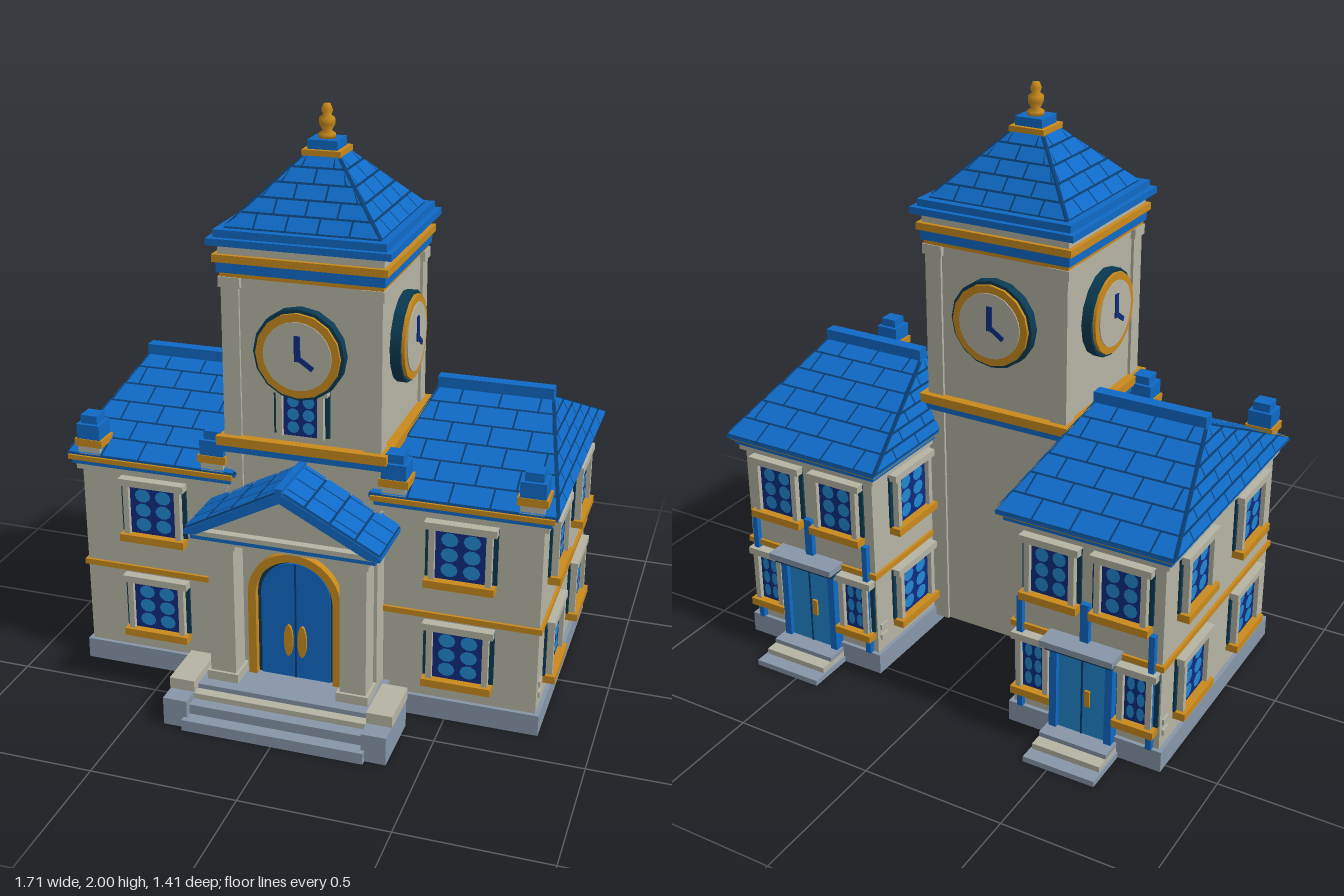
import * as THREE from 'three';

const mat = (name, color, side = THREE.FrontSide) => {
  const m = new THREE.MeshStandardMaterial({ color, side });
  m.name = name;
  return m;
};

export function createModel() {
  const cream = mat('cream stone', 0xb6b4a4);
  const grey = mat('grey stone', 0x8796a8);
  const blue = mat('roof blue', 0x0f6ac6, THREE.DoubleSide);
  const groove = mat('groove blue', 0x083c70, THREE.DoubleSide);
  const gold = mat('gold trim', 0xc98a1c);
  const navy = mat('glass navy', 0x0f2c80);
  const sky = mat('glass light blue', 0x2088d0);
  const teal = mat('dark teal', 0x0b3a52);

  const root = new THREE.Group();
  root.name = 'clockTowerHall';
  const group = (parent, name, x = 0, y = 0, z = 0, ry = 0) => {
    const g = new THREE.Group();
    g.name = name;
    g.position.set(x, y, z);
    g.rotation.y = ry;
    parent.add(g);
    return g;
  };
  const add = (parent, name, geo, m) => {
    const o = new THREE.Mesh(geo, m);
    o.name = name;
    parent.add(o);
    return o;
  };
  // Box given by its extents
  const box = (p, name, m, x0, x1, y0, y1, z0, z1) =>
    add(p, name, new THREE.BoxGeometry(x1 - x0, y1 - y0, z1 - z0)
      .translate((x0 + x1) / 2, (y0 + y1) / 2, (z0 + z1) / 2), m);
  const extrude = (p, name, m, shape, depth, z) =>
    add(p, name, new THREE.ExtrudeGeometry(shape, { depth, bevelEnabled: false, curveSegments: 10 }).translate(0, 0, z), m);

  // Roof slope: dark backing plus staggered tiles, clipped to the hips (a,b eave; c,d ridge)
  const quads = (list) => {
    const g = new THREE.BufferGeometry();
    g.setAttribute('position', new THREE.Float32BufferAttribute(
      list.flatMap(([a, b, c, d]) => [a, b, c, a, c, d].flatMap((v) => v.toArray())), 3));
    g.computeVertexNormals();
    return g;
  };
  const slope = (parent, pts, rows, tile) => {
    const [a, b, c, d] = pts.map((p) => new THREE.Vector3(...p));
    const dir = b.clone().sub(a).normalize();
    const up = d.clone().sub(a);
    up.addScaledVector(dir, -up.dot(dir));
    const lift = dir.clone().cross(up).normalize().multiplyScalar(0.006);
    const lw = (v) => d.clone().sub(a).dot(dir) * v;
    const rw = (v) => THREE.MathUtils.lerp(b.distanceTo(a), c.clone().sub(a).dot(dir), v);
    const at = (s, v) => a.clone().addScaledVector(dir, s).addScaledVector(up, v).add(lift);
    const gap = 0.006, vg = gap / up.length(), list = [];
    for (let r = 0; r < rows; r++) {
      const v0 = r / rows + vg, v1 = (r + 1) / rows - vg * 0.3;
      for (let s = (r % 2) * -tile / 2; s < rw(0); s += tile) {
        const cl = (x, v) => Math.min(Math.max(x, lw(v) + gap), rw(v) - gap);
        const e = s + tile - gap;
        const q = [cl(s, v0), cl(e, v0), cl(e, v1), cl(s, v1)];
        if (q[1] - q[0] + q[2] - q[3] > 0.004)
          list.push([at(q[0], v0), at(q[1], v0), at(q[2], v1), at(q[3], v1)]);
      }
    }
    add(parent, 'roofBacking', quads([[a, b, c, d]]), groove);
    add(parent, 'roofTiles', quads(list), blue);
  };
  // Hip roof from an eave rectangle to a smaller top rectangle
  const hipRoof = (p, [x0, x1, z0, z1], y0, [u0, u1, w0, w1], y1, rows, tile) => {
    const e = [[x0, y0, z1], [x1, y0, z1], [x1, y0, z0], [x0, y0, z0]];
    const t = [[u0, y1, w1], [u1, y1, w1], [u1, y1, w0], [u0, y1, w0]];
    for (let i = 0; i < 4; i++) {
      const j = (i + 1) % 4;
      slope(p, [e[i], e[j], t[j], t[i]], rows, tile);
    }
  };

  // Window facing +z, centred on its pane
  const windowUnit = (parent, x, y, z, ry, w = 0.17, h = 0.18, sill = true) => {
    const g = group(parent, 'window', x, y, z, ry);
    const a = w / 2, b = h / 2;
    box(g, 'shadowSurround', teal, -a - 0.035, a + 0.035, -b, b + 0.02, 0, 0.008);
    for (const s of [-1, 1]) box(g, 'frameSide', cream, s * (a + 0.01) - 0.01, s * (a + 0.01) + 0.01, -b, b + 0.02, 0, 0.03);
    box(g, 'frameTop', cream, -a - 0.035, a + 0.035, b, b + 0.025, 0, 0.034);
    box(g, 'pane', navy, -a, a, -b, b, 0, 0.014);
    for (const i of [-1, 1]) for (const j of [-1, 0, 1]) {
      const dot = add(g, 'reflection', new THREE.CircleGeometry(1, 10), sky);
      dot.scale.set(w * 0.17, h * 0.14, 1);
      dot.position.set(i * w * 0.22, j * h * 0.3, 0.016);
    }
    if (sill) box(g, 'sill', gold, -a - 0.033, a + 0.033, -b - 0.027, -b, 0, 0.042);
  };

  // ---- Side wings, s = +1 for the model's left ----
  const Q = Math.PI / 2;
  for (const s of [1, -1]) {
    const w = group(root, s > 0 ? 'leftWing' : 'rightWing', s * 0.54);
    const ring = (name, m, o, y0, y1) => box(w, name, m, -0.265 - o, 0.265 + o, y0, y1, -0.525 - o, 0.352 + o);
    ring('plinth', grey, 0.014, 0, 0.075);
    ring('walls', cream, 0, 0.075, 0.76);
    ring('floorBand', gold, 0.01, 0.375, 0.395);
    ring('corniceStone', cream, 0.016, 0.745, 0.768);
    ring('corniceBlue', blue, 0.026, 0.768, 0.785);
    ring('corniceGold', gold, 0.036, 0.785, 0.802);
    hipRoof(w, [-0.31, 0.31, -0.573, 0.382], 0.803, [-0.195, 0.195, -0.096, -0.094], 1.025, 6, 0.135);
    box(w, 'eaveUnderside', blue, -0.308, 0.308, 0.794, 0.804, -0.571, 0.38);
    box(w, 'ridgeCap', blue, -0.2, 0.2, 1.015, 1.06, -0.117, -0.073);
    for (const i of [-1, 1]) {
      const f = group(w, 'cornerPost', i * 0.226, 0, 0.335);
      box(f, 'postStone', cream, -0.04, 0.04, 0.8, 0.835, -0.04, 0.04);
      box(f, 'postGold', gold, -0.05, 0.05, 0.835, 0.862, -0.045, 0.045);
      box(f, 'postBody', blue, -0.042, 0.042, 0.862, 0.915, -0.042, 0.042);
      box(f, 'postCap', blue, -0.03, 0.03, 0.915, 0.945, -0.03, 0.03);
    }
    for (const y of [0.25, 0.62]) {
      windowUnit(w, 0, y, 0.352, 0);
      for (const z of [0.13, -0.31]) windowUnit(w, s * 0.265, y, z, s * Q);
      windowUnit(w, -s * 0.265, y, -0.31, -s * Q);
    }
    for (const i of [-1, 1]) {
      windowUnit(w, i * 0.125, 0.62, -0.525, Math.PI, 0.14);
      windowUnit(w, i * 0.185, 0.25, -0.525, Math.PI, 0.08);
      for (const z of [0.305, -0.49]) for (const y of [0.13, 0.17])
        box(w, 'cornerStone', cream, i * 0.268 - 0.004, i * 0.268 + 0.004, y - 0.01, y + 0.01, z - 0.02, z + 0.02);
    }
    // Back entrance
    const d = group(w, 'backEntrance', 0, 0, -0.525, Math.PI);
    box(d, 'backDoor', sky, -0.085, 0.085, 0.055, 0.36, 0, 0.026);
    box(d, 'doorSplit', groove, -0.003, 0.003, 0.055, 0.35, 0.02, 0.029);
    box(d, 'doorPlate', gold, 0.012, 0.03, 0.17, 0.23, 0.02, 0.034);
    for (const i of [-1, 1]) {
      box(d, 'doorPost', blue, i * 0.1 - 0.013, i * 0.1 + 0.013, 0.055, 0.375, 0, 0.04);
      box(d, 'pipe', blue, i * 0.235 - 0.01, i * 0.235 + 0.01, 0.075, 0.5, 0, 0.02);
    }
    box(d, 'canopy', teal, -0.12, 0.12, 0.36, 0.38, 0, 0.06);
    box(d, 'canopyTop', grey, -0.13, 0.13, 0.38, 0.402, 0, 0.08);
    box(d, 'upperPanel', blue, -0.015, 0.015, 0.402, 0.54, 0, 0.02);
    box(d, 'stepLow', grey, -0.128, 0.128, 0, 0.02, 0, 0.185);
    box(d, 'stepMiddle', cream, -0.122, 0.122, 0.02, 0.04, 0, 0.135);
    box(d, 'stepTop', grey, -0.122, 0.122, 0.04, 0.056, 0, 0.09);
  }

  // ---- Clock tower ----
  const t = group(root, 'tower', 0, 0, 0.095);
  const slab = (name, m, r, y0, y1) => box(t, name, m, -r, r, y0, y1, -r, r);
  slab('shaft', cream, 0.259, 0.04, 1.59);
  slab('lowerBandBlue', blue, 0.282, 0.885, 0.91);
  slab('lowerBandGold', gold, 0.292, 0.91, 0.942);
  slab('neckGold', gold, 0.272, 1.485, 1.5);
  slab('neckBlue', blue, 0.28, 1.5, 1.535);
  slab('corniceGold', gold, 0.29, 1.535, 1.56);
  slab('corniceStone', cream, 0.275, 1.56, 1.592);
  slab('eave', blue, 0.304, 1.592, 1.615);
  slab('eaveStep', blue, 0.285, 1.615, 1.64);
  hipRoof(t, [-0.26, 0.26, -0.26, 0.26], 1.638, [-0.05, 0.05, -0.05, 0.05], 1.85, 5, 0.105);
  slab('capGold', gold, 0.065, 1.842, 1.862);
  slab('capBlue', blue, 0.05, 1.862, 1.892);
  const prof = [[0, 1.89], [0.03, 1.89], [0.03, 1.905], [0.015, 1.915], [0.027, 1.935], [0.027, 1.955],
    [0.014, 1.965], [0.02, 1.98], [0.012, 2], [0, 2]].map((p) => new THREE.Vector2(...p));
  add(t, 'finial', new THREE.LatheGeometry(prof, 8), gold);
  for (const i of [-1, 1]) for (const j of [-1, 1]) {
    const c = group(t, 'cornerPilaster', i * 0.239, 0, j * 0.239);
    box(c, 'pilaster', cream, -0.03, 0.03, 0.04, 1.45, -0.03, 0.03);
    box(c, 'pilasterCap', cream, -0.037, 0.037, 1.45, 1.485, -0.037, 0.037);
  }
  for (let k = 0; k < 4; k++) {
    const side = group(t, 'clockSide', 0, 0, 0, k * Q);
    const c = group(side, 'clock', 0, 1.255, 0.259);
    const disc = (name, m, r, z1, n = 16) =>
      add(c, name, new THREE.CylinderGeometry(r, r, z1, n).rotateX(Q).translate(0, 0, z1 / 2), m);
    disc('clockHousing', teal, 0.153, 0.035);
    disc('clockRim', gold, 0.142, 0.046);
    disc('clockFace', cream, 0.115, 0.05, 24);
    box(c, 'minuteHand', navy, -0.008, 0.012, -0.015, 0.07, 0.05, 0.055);
    const hand = box(c, 'hourHand', navy, 0, 0.065, -0.008, 0.008, 0.05, 0.055);
    hand.rotation.z = -0.6;
  }
  windowUnit(t, 0, 1.045, 0.259, 0, 0.12, 0.15, false);

  // ---- Portico ----
  const p = group(root, 'portico');
  box(p, 'porticoWall', cream, -0.28, 0.28, 0.05, 0.64, 0.34, 0.43);
  const arch = (r, y0, S = THREE.Shape) => {
    const q = new S();
    q.moveTo(-r, y0);
    q.lineTo(r, y0);
    q.lineTo(r, 0.42);
    q.absarc(0, 0.42, r, 0, Math.PI, false);
    q.lineTo(-r, y0);
    return q;
  };
  const frame = arch(0.163, 0.11);
  frame.holes.push(arch(0.135, 0.1101, THREE.Path));
  extrude(p, 'doorArch', gold, frame, 0.03, 0.428);
  extrude(p, 'doorReveal', teal, arch(0.136, 0.11), 0.006, 0.428);
  extrude(p, 'doors', blue, arch(0.122, 0.11), 0.012, 0.428);
  box(p, 'doorSplit', groove, -0.003, 0.003, 0.11, 0.54, 0.436, 0.443);
  for (const s of [-1, 1]) {
    const h = add(p, 'doorHandle', new THREE.CylinderGeometry(1, 1, 0.012, 12).rotateX(Q), gold);
    h.scale.set(0.016, 0.06, 1);
    h.position.set(s * 0.024, 0.255, 0.444);
    const x = s * 0.228;
    box(p, 'column', cream, x - 0.045, x + 0.045, 0.11, 0.62, 0.445, 0.53);
    box(p, 'columnBase', cream, x - 0.055, x + 0.055, 0.11, 0.145, 0.44, 0.54);
    box(p, 'columnCapital', cream, x - 0.055, x + 0.055, 0.61, 0.64, 0.44, 0.54);
    const c = s * 0.345;
    box(p, 'stairCheek', grey, c - 0.042, c + 0.042, 0, 0.1, 0.44, 0.68);
    box(p, 'stairCheekCap', cream, c - 0.044, c + 0.044, 0.1, 0.14, 0.43, 0.615);
  }
  box(p, 'entablature', cream, -0.29, 0.29, 0.635, 0.652, 0.34, 0.555);
  box(p, 'entablatureBlue', blue, -0.315, 0.315, 0.652, 0.668, 0.34, 0.572);
  box(p, 'entablatureTop', cream, -0.325, 0.325, 0.668, 0.685, 0.34, 0.578);
  const gable = new THREE.Shape([[-0.3, 0.684], [0.3, 0.684], [0, 0.85]].map((v) => new THREE.Vector2(...v)));
  extrude(p, 'pediment', cream, gable, 0.21, 0.34);
  const rake = new THREE.Shape([[-0.333, 0.67], [-0.29, 0.675], [0, 0.826], [0.29, 0.675], [0.333, 0.67], [0.333, 0.685], [0, 0.862], [-0.333, 0.685]]
    .map((v) => new THREE.Vector2(...v)));
  extrude(p, 'pedimentRoof', blue, rake, 0.245, 0.34);
  slope(p, [[0.333, 0.687, 0.585], [0.333, 0.687, 0.34], [0, 0.864, 0.34], [0, 0.864, 0.585]], 4, 0.085);
  slope(p, [[-0.333, 0.687, 0.34], [-0.333, 0.687, 0.585], [0, 0.864, 0.585], [0, 0.864, 0.34]], 4, 0.085);
  box(p, 'pedimentRidge', blue, -0.012, 0.012, 0.85, 0.878, 0.34, 0.59);

  // ---- Front stairs ----
  [[0.04, 0.7, grey], [0.075, 0.655, grey], [0.095, 0.615, cream], [0.112, 0.58, grey]].forEach(([y, z, m], i) =>
    box(p, 'frontStep', m, -0.315 + i * 0.003, 0.315 - i * 0.003, 0, y, 0.36, z));
  return root;
}
